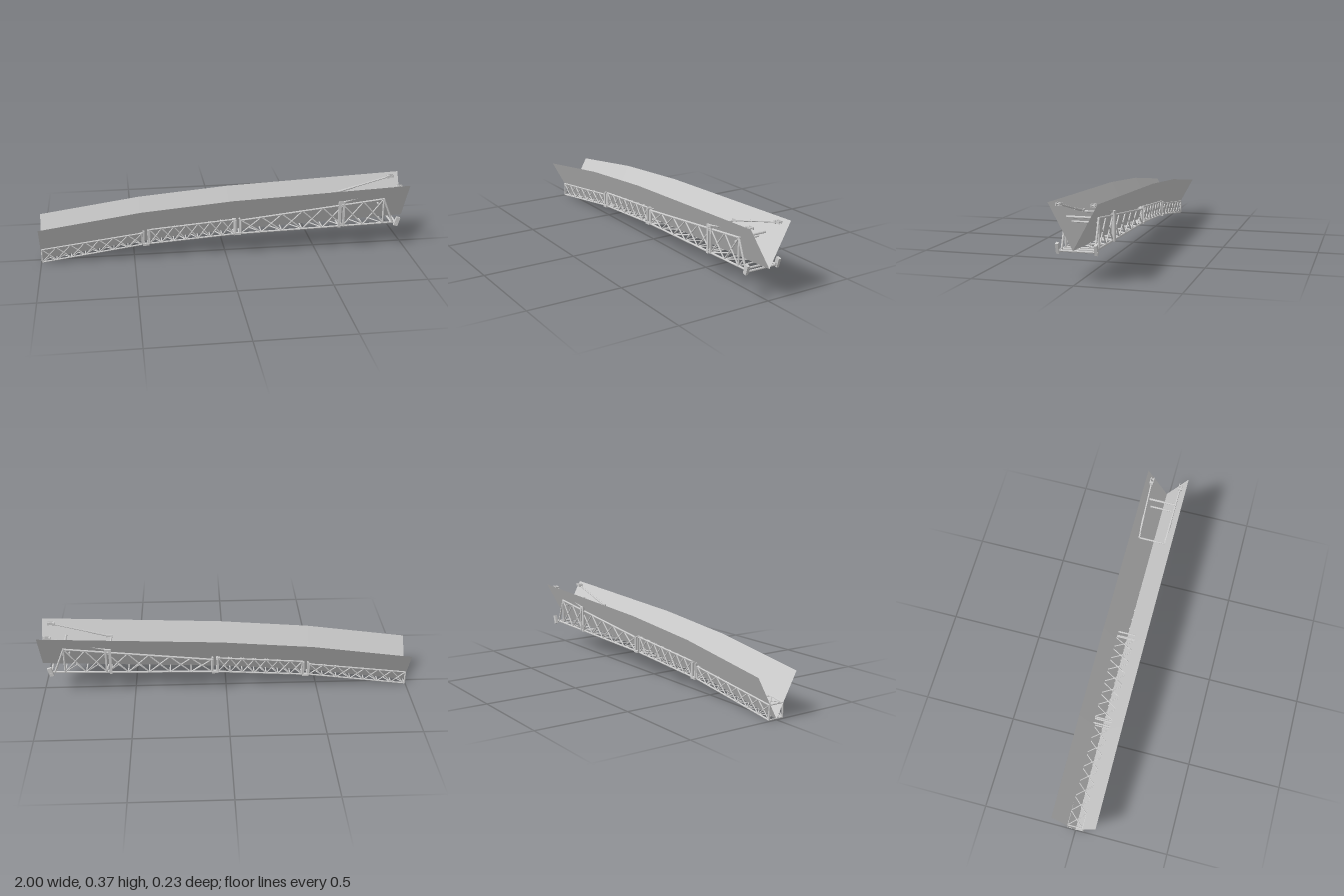
import * as THREE from 'three';

const mat = new THREE.MeshStandardMaterial({ color: 0xcccccc, flatShading: true });
const sheetMat = new THREE.MeshStandardMaterial({ color: 0xcccccc, flatShading: true, side: THREE.DoubleSide });
const V = (x, y, z) => new THREE.Vector3(x, y, z);
const UP = V(0, 1, 0);

// Round bar between two points
function bar(parent, name, a, b, r) {
  const d = b.clone().sub(a);
  const m = new THREE.Mesh(new THREE.CylinderGeometry(r, r, d.length(), 8), mat);
  m.position.copy(a).add(b).multiplyScalar(0.5);
  m.quaternion.setFromUnitVectors(UP, d.normalize());
  m.name = name;
  parent.add(m);
}

function box(parent, name, w, h, d, x, y, z) {
  const m = new THREE.Mesh(new THREE.BoxGeometry(w, h, d), mat);
  m.position.set(x, y, z);
  m.name = name;
  parent.add(m);
  return m;
}

// V-shaped trough sheet swept along a bent keel line
function trough() {
  const keel = [[-1, 0.008], [-0.46, 0.083], [0.03, 0.123], [1, 0.163]];
  const pos = [], idx = [];
  for (const [x, y] of keel) pos.push(x, y + 0.215, 0.117, x, y, 0, x, y + 0.215, -0.117);
  for (let i = 0; i < keel.length - 1; i++) {
    for (let j = 0; j < 2; j++) {
      const a = i * 3 + j, b = a + 3;
      idx.push(a, a + 1, b, b, a + 1, b + 1);
    }
  }
  const g = new THREE.BufferGeometry();
  g.setAttribute('position', new THREE.Float32BufferAttribute(pos, 3));
  g.setIndex(idx);
  g.computeVertexNormals();
  const m = new THREE.Mesh(g, sheetMat);
  m.name = 'troughSheet';
  return m;
}

// One box truss: s = { x, bottom, top, half } as [start, end] pairs, n panels
function truss(name, s, n, r) {
  const g = new THREE.Group();
  g.name = name;
  const at = (t, top, side) => {
    const l = k => THREE.MathUtils.lerp(s[k][0], s[k][1], t);
    return V(l('x'), l(top ? 'top' : 'bottom'), side * l('half'));
  };
  for (const side of [1, -1]) {
    bar(g, 'bottomChord', at(0, false, side), at(1, false, side), r);
    bar(g, 'topChord', at(0, true, side), at(1, true, side), r);
    bar(g, 'endPost', at(0, false, side), at(0, true, side), r);
    bar(g, 'endPost', at(1, false, side), at(1, true, side), r);
  }
  for (let i = 0; i < n; i++) {
    const a = i / n, b = (i + 1) / n;
    for (const side of [1, -1]) {
      bar(g, 'sideBrace', at(a, false, side), at(b, true, side), r * 0.7);
      bar(g, 'sideBrace', at(a, true, side), at(b, false, side), r * 0.7);
      bar(g, 'bottomBrace', at(a, false, side), at(b, false, -side), r * 0.6);
      if (s.topLaced) bar(g, 'topBrace', at(a, true, side), at(b, true, -side), r * 0.6);
    }
  }
  // Rungs across the bottom and the truss ends
  for (let i = 0; i <= n; i++) {
    bar(g, 'bottomRung', at(i / n, false, 1), at(i / n, false, -1), r * 0.7);
    if (s.topLaced && (i === 0 || i === n)) bar(g, 'topRung', at(i / n, true, 1), at(i / n, true, -1), r * 0.8);
  }
  return g;
}

// Paired collars where two trusses meet
function joint(x, bottom, top, half) {
  const g = new THREE.Group();
  g.name = 'trussJoint';
  for (const dx of [-0.012, 0.012]) {
    for (const side of [1, -1]) box(g, 'jointPost', 0.009, top - bottom, 0.012, x + dx, (top + bottom) / 2, side * half);
    bar(g, 'jointRung', V(x + dx, bottom, half), V(x + dx, bottom, -half), 0.005);
    bar(g, 'jointTopRung', V(x + dx, top, half), V(x + dx, top, -half), 0.005);
  }
  for (const side of [1, -1]) {
    box(g, 'jointLug', 0.035, 0.012, 0.018, x, bottom + 0.004, side * (half + 0.003));
  }
  return g;
}

export function createModel() {
  const model = new THREE.Group();
  model.name = 'trussBoom';
  model.add(trough());

  model.add(truss('lowerTruss', { x: [-0.994, -0.455], bottom: [0.008, 0.085], top: [0.08, 0.15], half: [0.041, 0.049], topLaced: true }, 7, 0.0045));
  model.add(truss('middleTruss', { x: [-0.415, 0.045], bottom: [0.09, 0.125], top: [0.17, 0.21], half: [0.053, 0.064], topLaced: true }, 7, 0.005));
  const upper = truss('upperTruss', { x: [0.08, 0.87], bottom: [0.129, 0.152], top: [0.205, 0.293], half: [0.07, 0.08] }, 7, 0.0055);
  model.add(upper);
  model.add(joint(-0.435, 0.084, 0.165, 0.052));
  model.add(joint(0.063, 0.125, 0.208, 0.067));

  // Upper end frame
  const end = new THREE.Group();
  end.name = 'endFrame';
  model.add(end);
  bar(end, 'topCrossbar', V(0.87, 0.293, 0.085), V(0.87, 0.293, -0.085), 0.006);
  bar(end, 'topCrossbar', V(0.84, 0.266, 0.08), V(0.84, 0.266, -0.08), 0.005);
  bar(end, 'lowCrossbar', V(0.92, 0.154, 0.083), V(0.92, 0.154, -0.083), 0.006);
  bar(end, 'axle', V(0.945, 0.15, 0.1), V(0.945, 0.15, -0.1), 0.006);
  for (const side of [1, -1]) {
    const z = side * 0.08;
    bar(end, 'endStrut', V(0.87, 0.293, z), V(0.925, 0.155, z), 0.0055);
    bar(end, 'chordTip', V(0.87, 0.152, z), V(0.95, 0.154, z), 0.0055);
    // Tilted end shoe with a round pin
    const shoe = box(end, 'endShoe', 0.022, 0.05, 0.014, 0.947, 0.162, side * 0.092);
    shoe.rotation.z = -0.3;
  }

  // Collar around the upper truss, carrying the raised arms
  const collar = new THREE.Group();
  collar.name = 'armCollar';
  model.add(collar);
  for (const side of [1, -1]) {
    box(collar, 'collarPost', 0.014, 0.15, 0.014, 0.625, 0.213, side * 0.078);
    box(collar, 'collarPost', 0.01, 0.14, 0.012, 0.648, 0.213, side * 0.079);
    box(collar, 'collarCap', 0.035, 0.012, 0.018, 0.636, 0.284, side * 0.078);
  }
  for (const y of [0.145, 0.278]) bar(collar, 'collarBeam', V(0.625, y, 0.078), V(0.625, y, -0.078), 0.005);

  // Raised arms with forked heads
  for (const side of [1, -1]) {
    const arm = new THREE.Group();
    arm.name = 'raisedArm';
    model.add(arm);
    bar(arm, 'armRod', V(0.625, 0.28, side * 0.075), V(0.935, 0.36, side * 0.082), 0.0045);
    bar(arm, 'armSleeve', V(0.625, 0.28, side * 0.075), V(0.75, 0.312, side * 0.078), 0.006);
    box(arm, 'forkBase', 0.012, 0.016, 0.022, 0.935, 0.361, side * 0.083);
    for (const dz of [-0.008, 0.008]) box(arm, 'forkProng', 0.03, 0.014, 0.004, 0.952, 0.365, side * 0.083 + dz);
    bar(arm, 'forkPin', V(0.958, 0.365, side * 0.083 - 0.011), V(0.958, 0.365, side * 0.083 + 0.011), 0.004);
  }
  return model;
}
